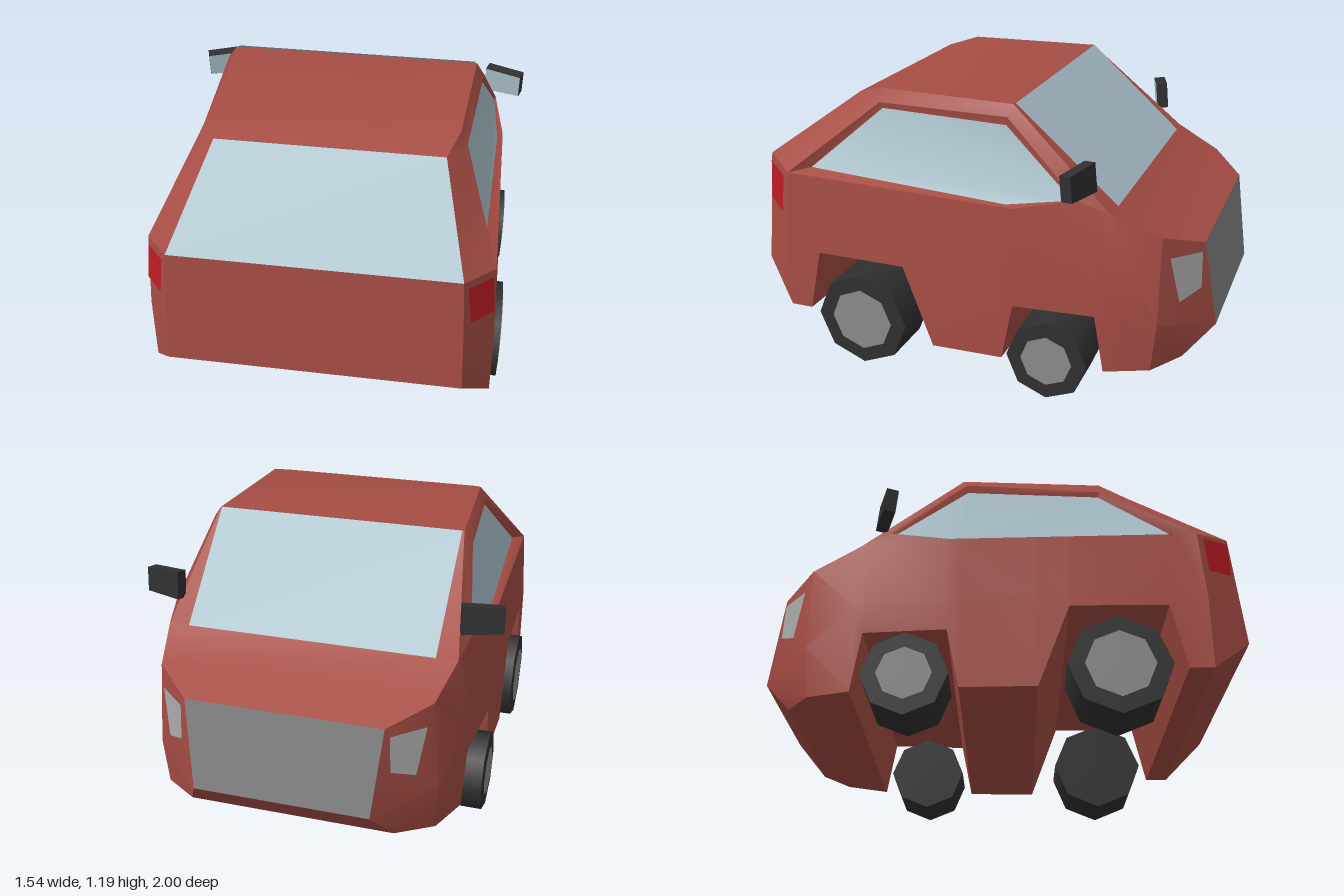
import * as THREE from 'three';
import { toCreasedNormals } from 'three/addons/utils/BufferGeometryUtils.js';

const paint = (color) => new THREE.MeshStandardMaterial({ color, side: THREE.DoubleSide });
const RED = paint(0xa64d44), GLASS = paint(0xa9c0ca), GREY = paint(0x858585), DARK = paint(0x303030),
  HUB = paint(0x8c8c8c), LAMP = paint(0xa8a8a8), TAIL = paint(0xb81c22);

const flip = ([x, y, z]) => [-x, y, z];

// Collects polygons, mirrored over x when asked, into one mesh
class Shell {
  constructor() { this.v = []; }
  face(...p) {
    for (let i = 1; i < p.length - 1; i++) this.v.push(...p[0], ...p[i], ...p[i + 1]);
    return this;
  }
  both(...p) { return this.face(...p).face(...p.map(flip).reverse()); }
  across(a, b) { return this.face(a, flip(a), flip(b), b); }
  mesh(name, material, crease = 0.5) {
    const g = new THREE.BufferGeometry();
    g.setAttribute('position', new THREE.Float32BufferAttribute(this.v, 3));
    const m = new THREE.Mesh(toCreasedNormals(g, crease), material);
    m.name = name;
    return m;
  }
}

// Body sections from nose to tail: bottom, middle, beltline (x, y, z)
const S = [
  [[.44, .14, -.88], [.37, .28, -1], [.41, .66, -.94]],
  [[.59, .135, -.78], [.6, .35, -.8], [.57, .72, -.8]],
  [[.66, .13, -.6], [.67, .5, -.6], [.62, .81, -.6]],
  [[.67, .38, -.56], [.675, .5, -.56], [.63, .82, -.56]],
  [[.7, .38, -.22], [.7, .5, -.22], [.69, .805, -.22]],
  [[.7, .13, -.17], [.7, .5, -.17], [.69, .806, -.17]],
  [[.71, .13, .14], [.705, .54, .14], [.69, .812, .14]],
  [[.71, .48, .27], [.705, .55, .27], [.69, .8145, .27]],
  [[.71, .48, .67], [.705, .55, .67], [.69, .822, .67]],
  [[.71, .205, .73], [.705, .52, .73], [.69, .823, .73]],
  [[.71, .205, .83], [.708, .5, .83], [.69, .825, .81]],
  [[.597, .36, 1], [.588, .6, .98], [.573, .86, .96]],
];
// Cabin corners
const roofFront = [.545, 1.19, -.17], roofRear = [.51, 1.19, .43], hatchTop = [.465, 1.15, .56];
const opening = [[.645, .86, -.47], [.58, 1.145, -.155], [.54, 1.135, .43], S[10][2], S[4][2]];
const pane = [[.64, .855, -.45], [.575, 1.11, -.15], [.535, 1.11, .42], [.64, .845, .72], [.665, .81, -.18]];

function body() {
  const s = new Shell();
  for (let i = 0; i < S.length - 1; i++)
    for (let r = 0; r < 2; r++) s.both(S[i][r], S[i][r + 1], S[i + 1][r + 1], S[i + 1][r]);
  // hood, roof, tail and underside as one strip; grille and rear window are left open
  const tail = S[11];
  s.across(S[0][0], S[0][1]);
  const strip = [S[0][2], S[1][2], S[2][2], roofFront, roofRear, hatchTop];
  for (let i = 0; i < strip.length - 1; i++) s.across(strip[i], strip[i + 1]);
  s.across(tail[2], tail[1]).across(tail[1], tail[0]);
  for (let i = S.length - 1; i > 0; i--) s.across(S[i][0], S[i - 1][0]);
  // pillars and roof sides
  const [o1, o2, o3, o4, o5] = opening;
  s.both(S[2][2], roofFront, o2, o1);
  s.both(roofFront, roofRear, o3, o2);
  s.both(o3, roofRear, hatchTop, tail[2], o4);
  s.both(S[2][2], o1, S[3][2]).both(S[3][2], o1, o5);
  // reveals around the side windows
  opening.forEach((o, i) => {
    const j = (i + 1) % 5;
    s.both(o, opening[j], pane[j], pane[i]);
  });
  return s.mesh('body', RED);
}

function wheel(side, z, r, hubR, outer, width) {
  const g = new THREE.Group();
  const tyre = new THREE.Mesh(new THREE.CylinderGeometry(r, r, width, 8), DARK);
  tyre.name = 'tyre';
  const hub = new THREE.Mesh(new THREE.CircleGeometry(hubR, 8), HUB);
  hub.name = 'hub';
  tyre.rotation.z = Math.PI / 2;
  tyre.rotation.x = Math.PI / 2;
  hub.rotation.y = side * Math.PI / 2;
  hub.position.x = side * (width / 2 + .004);
  g.add(tyre, hub);
  g.position.set(side * (outer - width / 2), r + .003, z);
  // octagon corner points straight up
  tyre.rotation.set(0, 0, Math.PI / 2);
  return g;
}

function mirror(side) {
  const g = new THREE.Group();
  const geo = new THREE.BoxGeometry(.17, .12, .05);
  const p = geo.attributes.position;
  // housing tapers towards its outer end
  for (let i = 0; i < p.count; i++)
    if (p.getX(i) * side > 0) p.setY(i, p.getY(i) * .88);
  geo.computeVertexNormals();
  const housing = new THREE.Mesh(geo, DARK);
  housing.name = 'mirrorHousing';
  const a = side * .084, z = .027;
  const glass = new Shell().face([-a, -.058, z], [a, -.051, z], [a, .051, z], [-a, .058, z]);
  if (side < 0) glass.v = new Shell().face([a, -.051, z], [-a, -.058, z], [-a, .058, z], [a, .051, z]).v;
  g.add(housing, glass.mesh('mirrorGlass', GLASS));
  g.rotation.set(.1, -side * .3, 0);
  g.position.set(side * .683, .947, -.485);
  return g;
}

export function createModel() {
  const car = new THREE.Group();
  car.name = 'car';
  const shell = new THREE.Group();
  shell.name = 'shell';
  shell.position.x = .006;
  car.add(shell);

  shell.add(body());
  shell.add(new Shell().across(S[0][1], S[0][2]).mesh('grille', GREY));
  shell.add(new Shell().across(hatchTop, S[11][2]).mesh('rearWindow', GLASS));
  shell.add(new Shell().across([.53, .812, -.607], [.537, 1.193, -.176]).mesh('windscreen', GLASS));
  shell.add(new Shell().both(...pane).mesh('sideWindows', GLASS, 0.9));

  // lamps lie just proud of the corner panels
  const proud = (pts, [dx, dz]) => pts.map(([x, y, z]) => [x + dx, y, z + dz]);
  shell.add(new Shell().both(...proud(
    [[.425, .625, -.93], [.548, .63, -.825], [.517, .43, -.865], [.431, .47, -.935]].reverse(),
    [.005, -.006])).mesh('headlights', LAMP));
  shell.add(new Shell().both(...proud(
    [[.675, .805, .83], [.583, .83, .948], [.604, .665, .948], [.69, .645, .84]],
    [.008, .006])).mesh('tailLights', TAIL));

  for (const side of [1, -1]) {
    const label = side > 0 ? 'left' : 'right';
    const rear = wheel(side, .46, .208, .14, .742, .25);
    rear.name = label + 'RearWheel';
    const front = wheel(side, -.38, .173, .11, .735, .24);
    front.name = label + 'FrontWheel';
    shell.add(rear, front);
    const m = mirror(side);
    m.name = label + 'Mirror';
    car.add(m);
  }
  return car;
}
